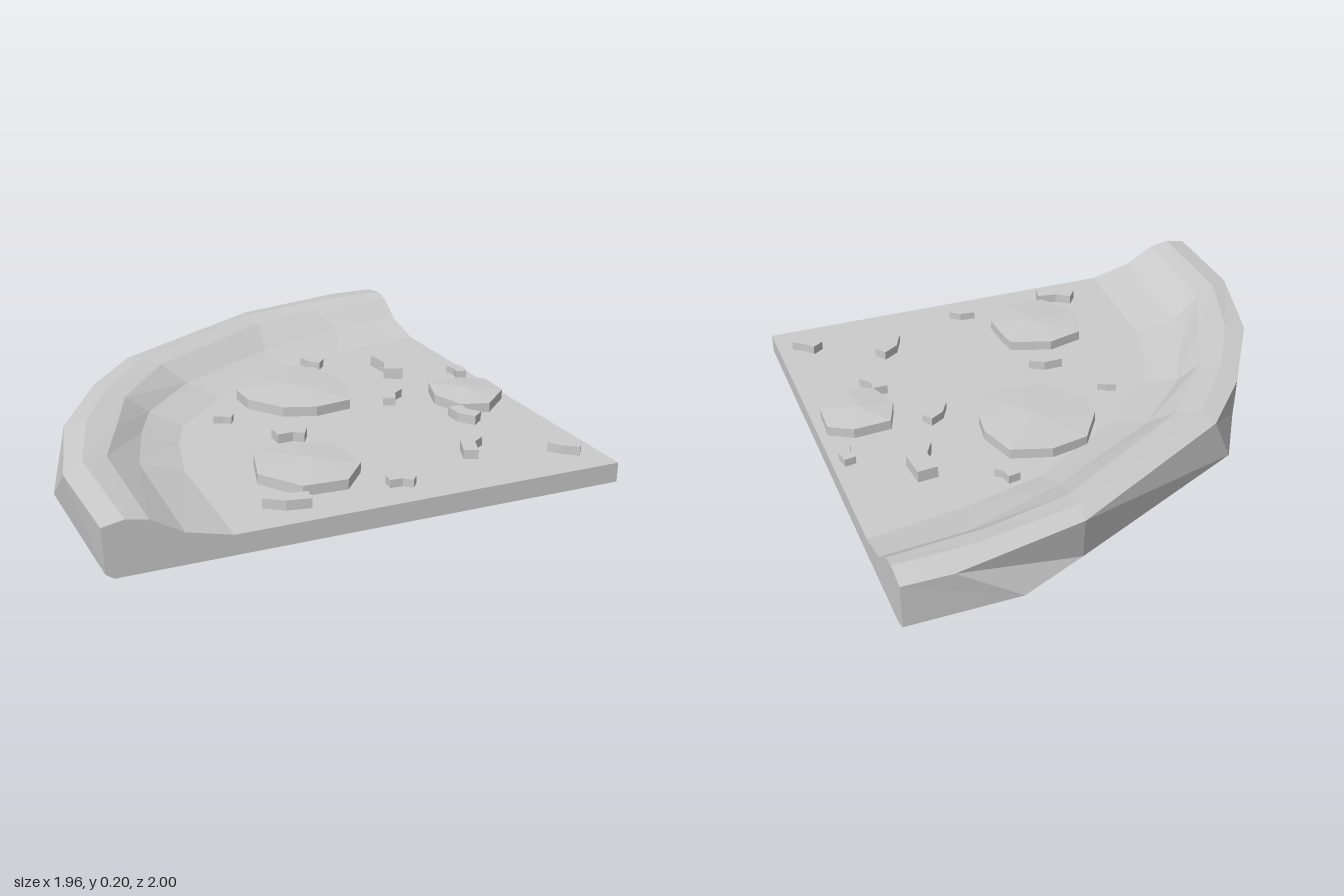
import * as THREE from 'three';
import { ConvexGeometry } from 'three/addons/geometries/ConvexGeometry.js';

const material = new THREE.MeshStandardMaterial({ color: 0xcccccc, flatShading: true });
const FLOOR = 0.075;

// Crust rings from the underside, over the rim, down to the flat filling: [height, x/z of each station]
const RINGS = [
  [0, [[-0.94, 1], [-0.92, 0.35], [-0.81, 0.15], [-0.59, -0.22], [-0.44, -0.45], [0.29, -0.83], [0.55, -0.95], [0.975, -0.95]]],
  [0.02, [[-0.97, 1], [-0.955, 0.34], [-0.84, 0.14], [-0.62, -0.23], [-0.47, -0.49], [0.29, -0.87], [0.55, -0.995], [0.975, -1]]],
  [0.185, [[-0.98, 1], [-0.975, 0.56], [-0.85, 0.13], [-0.62, -0.25], [-0.4, -0.5], [0.29, -0.89], [0.79, -1], [0.975, -1]]],
  [0.2, [[-0.9, 1], [-0.89, 0.5], [-0.77, 0.15], [-0.61, -0.13], [-0.37, -0.43], [0.28, -0.81], [0.68, -0.89], [0.975, -0.9]]],
  [0.185, [[-0.82, 1], [-0.79, 0.46], [-0.67, 0.2], [-0.55, -0.07], [-0.3, -0.37], [0.28, -0.72], [0.6, -0.8], [0.975, -0.835]]],
  [0.117, [[-0.7, 1], [-0.66, 0.42], [-0.56, 0.15], [-0.46, -0.05], [-0.21, -0.3], [0.25, -0.56], [0.66, -0.71], [0.975, -0.735]]],
  [FLOOR, [[-0.53, 1], [-0.5, 0.45], [-0.43, 0.2], [-0.36, 0.05], [-0.12, -0.18], [0.28, -0.43], [0.58, -0.51], [0.975, -0.57]]],
];

// Irregular round slices: outline corners in x/z
const SLICES = [
  [[0.19, -0.33], [0.345, -0.28], [0.39, -0.12], [0.375, -0.01], [0.32, 0.13], [0.165, 0.15], [0.04, 0.105], [-0.055, -0.03], [-0.055, -0.15], [0.04, -0.3]],
  [[-0.1, 0.44], [0.06, 0.5], [0.07, 0.58], [0.075, 0.71], [-0.03, 0.825], [-0.2, 0.815], [-0.305, 0.66], [-0.245, 0.48]],
  [[0.85, 0.075], [0.94, 0.13], [0.935, 0.27], [0.81, 0.38], [0.7, 0.35], [0.655, 0.215], [0.7, 0.085]],
];

// Bent strips: x/z of start, bend and end, then width
const STRIPS = [
  [0.38, -0.43, 0.39, -0.38, 0.42, -0.35, 0.05],
  [0.67, -0.3, 0.68, -0.19, 0.64, -0.11, 0.08],
  [0.91, -0.1, 0.92, -0.05, 0.91, -0.01, 0.045],
  [0.56, 0.07, 0.51, 0.1, 0.48, 0.16, 0.05],
  [-0.23, 0.045, -0.195, 0.06, -0.165, 0.08, 0.04],
  [-0.09, 0.32, -0.02, 0.32, 0.025, 0.35, 0.06],
  [0.67, 0.35, 0.67, 0.41, 0.71, 0.46, 0.06],
  [0.59, 0.64, 0.535, 0.675, 0.5, 0.76, 0.055],
  [-0.35, 0.825, -0.29, 0.87, -0.205, 0.885, 0.06],
  [0.11, 0.85, 0.165, 0.855, 0.2, 0.885, 0.045],
  [0.82, 0.79, 0.85, 0.83, 0.9, 0.87, 0.055],
];

// Quarter base with its raised crust, closed by the two cut faces
function baseGeometry() {
  const rings = RINGS.map(([y, pts]) => pts.map(([x, z]) => [x, y, z]));
  const last = rings[0].length - 1;
  const tipTop = [0.975, FLOOR, 1];
  const tipBottom = [0.975, 0, 1];
  const pos = [];
  const tri = (a, b, c) => pos.push(...a, ...b, ...c);
  for (let i = 0; i < last; i++) {
    for (let j = 0; j < rings.length - 1; j++) {
      const [a, b] = [rings[j][i], rings[j][i + 1]];
      const [d, c] = [rings[j + 1][i], rings[j + 1][i + 1]];
      tri(a, d, c);
      tri(a, c, b);
    }
    const inner = rings[rings.length - 1];
    tri(inner[i], tipTop, inner[i + 1]);
    tri(rings[0][i], rings[0][i + 1], tipBottom);
  }
  const front = [...rings.map((r) => r[0]), tipTop, tipBottom];
  const side = [...rings.map((r) => r[last]), tipTop, tipBottom];
  for (let k = 1; k < front.length - 1; k++) {
    tri(front[0], front[k + 1], front[k]);
    tri(side[0], side[k], side[k + 1]);
  }
  const geometry = new THREE.BufferGeometry();
  geometry.setAttribute('position', new THREE.Float32BufferAttribute(pos, 3));
  geometry.computeVertexNormals();
  return geometry;
}

// Slice with upright sides and a slightly raised middle
function sliceGeometry(outline) {
  const points = [];
  const middle = new THREE.Vector3(0, 0.128, 0);
  for (const [x, z] of outline) {
    points.push(new THREE.Vector3(x, FLOOR - 0.005, z), new THREE.Vector3(x, 0.114, z));
    middle.x += x / outline.length;
    middle.z += z / outline.length;
  }
  return new ConvexGeometry([...points, middle]);
}

// Bent strip: a centre line widened to both sides and extruded upward
function stripGeometry([ax, az, mx, mz, bx, bz, width]) {
  const line = [[ax, -az], [mx, -mz], [bx, -bz]].map(([x, y]) => new THREE.Vector2(x, y));
  const left = [];
  const right = [];
  line.forEach((p, i) => {
    const dir = line[Math.min(i + 1, 2)].clone().sub(line[Math.max(i - 1, 0)]).normalize();
    const offset = new THREE.Vector2(-dir.y, dir.x).multiplyScalar(width / 2);
    left.push(p.clone().add(offset));
    right.unshift(p.clone().sub(offset));
  });
  const bottom = FLOOR - 0.005;
  const depth = 0.085 + width * 0.45 - bottom;
  return new THREE.ExtrudeGeometry(new THREE.Shape([...left, ...right]), { depth, bevelEnabled: false })
    .rotateX(-Math.PI / 2)
    .translate(0, bottom, 0);
}

export function createModel() {
  const model = new THREE.Group();
  model.name = 'pizzaQuarter';
  const add = (geometry, name) => {
    const mesh = new THREE.Mesh(geometry, material);
    mesh.name = name;
    model.add(mesh);
  };
  add(baseGeometry(), 'crustBase');
  SLICES.forEach((s, i) => add(sliceGeometry(s), `sausageSlice${i + 1}`));
  STRIPS.forEach((s, i) => add(stripGeometry(s), `pepperStrip${i + 1}`));
  return model;
}
